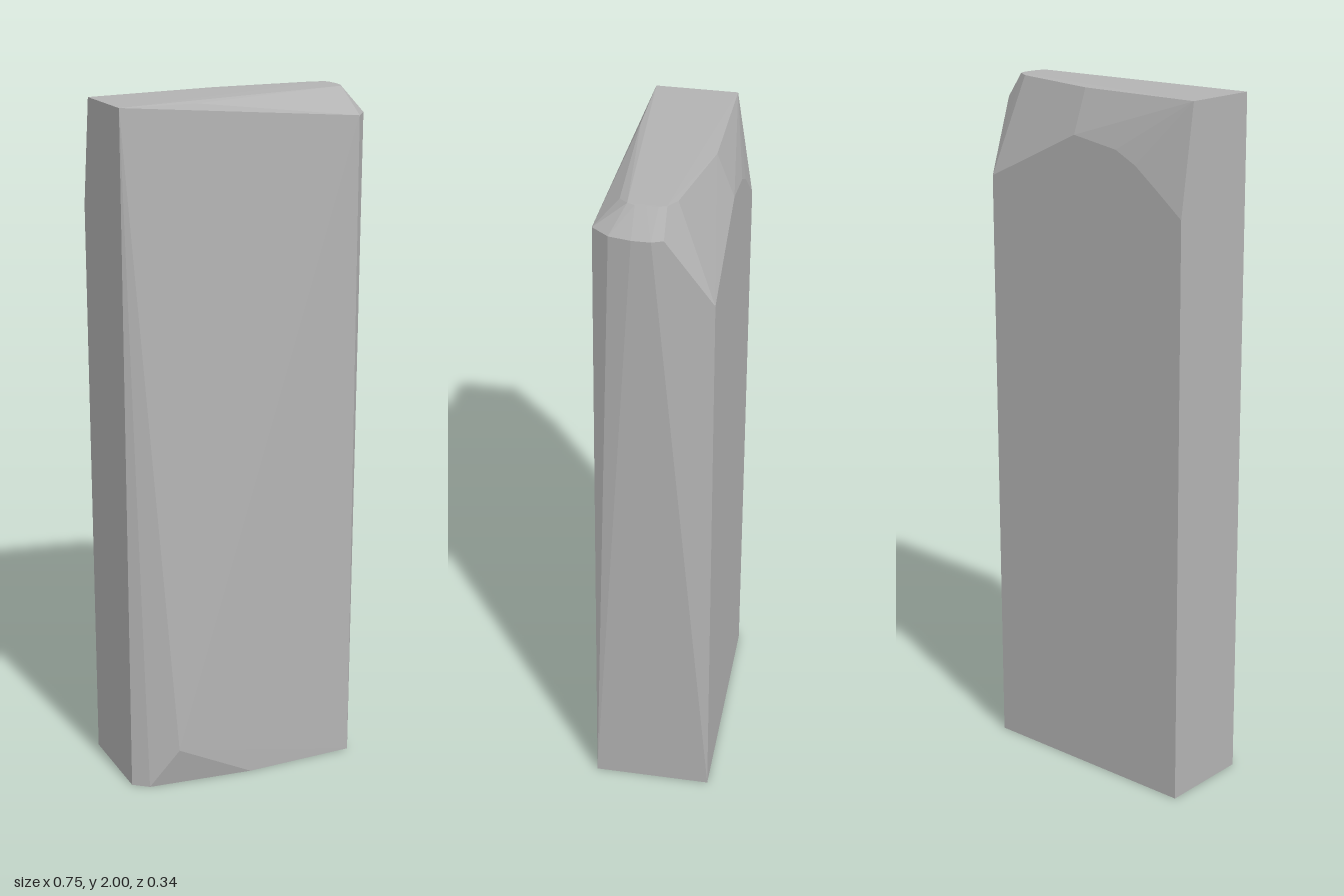
import * as THREE from 'three';
import { ConvexGeometry } from 'three/addons/geometries/ConvexGeometry.js';

const stone = new THREE.MeshStandardMaterial({ color: 0xb3b3b3 });
stone.name = 'grey stone';

// Corner loops of the faceted slab, each corner as [x, y, z]
const base = [
  [-0.373, 0, -0.173], [0.308, 0, -0.173], [0.308, 0, 0.172],
  [-0.02, 0, 0.172], [-0.33, 0, 0.134], [-0.373, 0, 0.1],
];
const chippedFoot = [[-0.25, 0.12, 0.172]];
const shoulder = [
  [0.322, 1.93, 0.138], [0.36, 1.93, 0.09], [0.372, 1.93, 0.03],
  [0.372, 1.93, -0.02], [0.36, 1.93, -0.05],
];
// Upper rim of the flat back, where the worn chamfer begins
const backRim = [
  [0.31, 1.725, -0.173], [0, 1.87, -0.173], [-0.148, 1.845, -0.173],
  [-0.216, 1.81, -0.173], [-0.284, 1.757, -0.173], [-0.373, 1.685, -0.173],
];
const crown = [
  [-0.373, 1.99, 0.101], [-0.15, 1.988, 0.102], [0.27, 1.988, 0.077],
  [0.305, 1.985, 0.07], [0.31, 2, 0.05], [0.318, 2, 0.03], [0.32, 2, 0],
  [0.318, 2, -0.03], [0.31, 2, -0.05], [0.275, 1.998, -0.072],
  [0, 1.992, -0.126], [-0.373, 1.988, -0.126],
];

export function createModel() {
  const group = new THREE.Group();
  group.name = 'standingSlab';

  // One solid block with flat facets spanning all the corner loops
  const corners = [...base, ...chippedFoot, ...shoulder, ...backRim, ...crown]
    .map((p) => new THREE.Vector3(...p));
  const slab = new THREE.Mesh(new ConvexGeometry(corners), stone);
  slab.name = 'slab';
  group.add(slab);
  return group;
}
